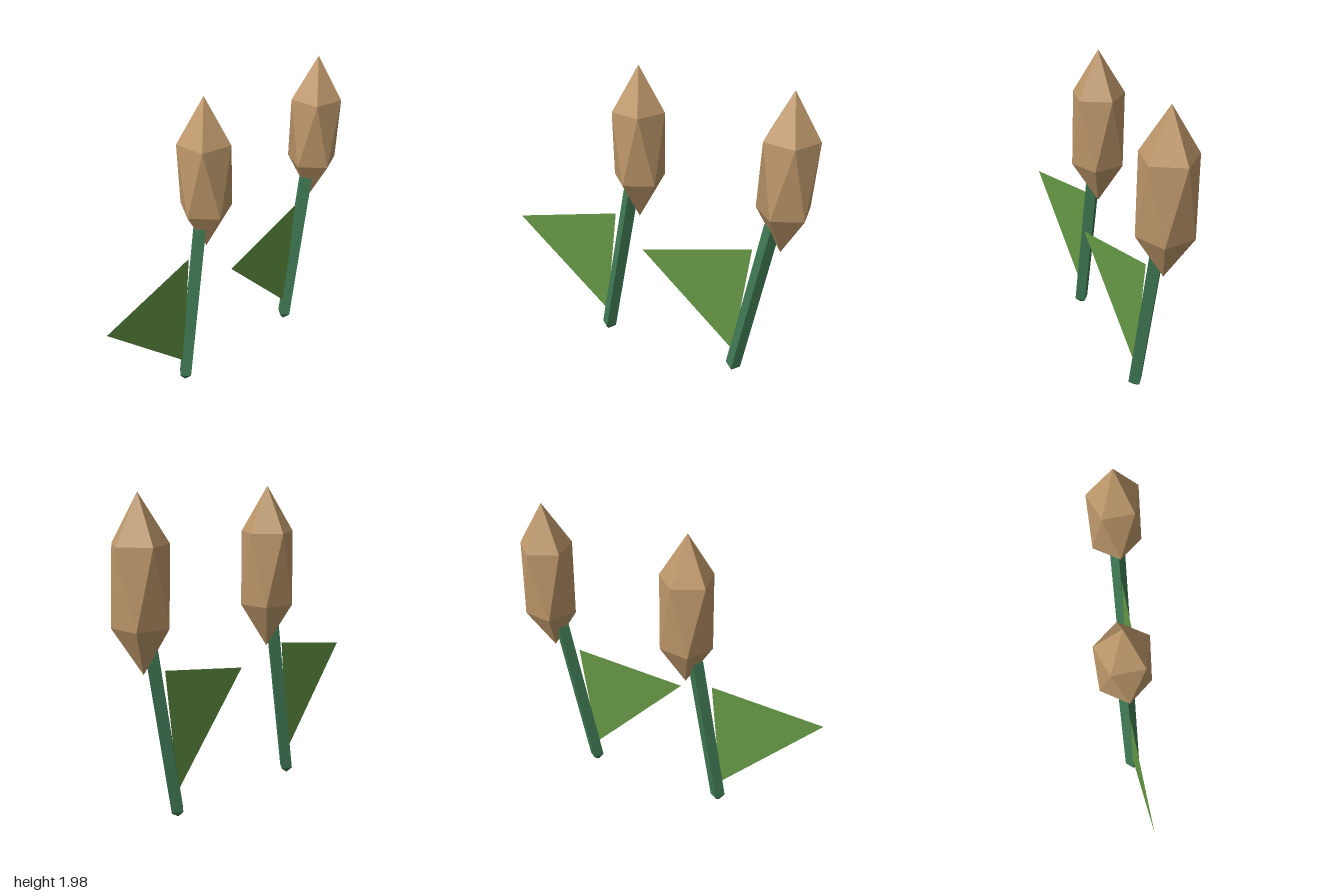
import * as THREE from 'three';
import { ConvexGeometry } from 'three/addons/geometries/ConvexGeometry.js';

const headBrown = new THREE.MeshStandardMaterial({ color: 0xbd976a });
headBrown.name = 'headBrown';
const stemGreen = new THREE.MeshStandardMaterial({ color: 0x407a54 });
stemGreen.name = 'stemGreen';
const leafGreen = new THREE.MeshStandardMaterial({ color: 0x669a46, side: THREE.DoubleSide });
leafGreen.name = 'leafGreen';

// Faceted look: separate the faces so each gets its own normal
function faceted(geometry) {
  const flat = geometry.toNonIndexed();
  flat.computeVertexNormals();
  return flat;
}

// Stretched icosahedron: two points and two staggered rings of five
function headGeometry(radius, halfHeight, ringY) {
  const points = [new THREE.Vector3(0, halfHeight, 0), new THREE.Vector3(0, -halfHeight, 0)];
  for (let i = 0; i < 5; i++) {
    const a = (i * Math.PI * 2) / 5;
    const x = Math.cos(a) * radius;
    const z = Math.sin(a) * radius;
    points.push(new THREE.Vector3(x, ringY, z), new THREE.Vector3(-x, -ringY, -z));
  }
  return new ConvexGeometry(points);
}

function part(name, geometry, material) {
  const mesh = new THREE.Mesh(geometry, material);
  mesh.name = name;
  return mesh;
}

function createReed(name) {
  const reed = new THREE.Group();
  reed.name = name;

  // Leaning four-sided stem with pointed ends
  const length = 1.1;
  const tilt = Math.atan(0.168);
  const stemGeo = new THREE.CapsuleGeometry(0.05, length, 1, 4);
  stemGeo.translate(0, length / 2, 0);
  const stem = part('stem', faceted(stemGeo), stemGreen);
  stem.position.set(-0.362, 0.05, 0);
  stem.rotation.z = -tilt;
  reed.add(stem);

  // Upright seed head
  const head = part('seedHead', headGeometry(0.168, 0.503, 0.225), headBrown);
  head.position.set(-0.12, 1.475, 0);
  reed.add(head);

  // Flat triangular leaf
  const outline = new THREE.Shape([
    new THREE.Vector2(-1, 0.812),
    new THREE.Vector2(-0.372, 0.17),
    new THREE.Vector2(-0.29, 0.957),
  ]);
  reed.add(part('leaf', new THREE.ShapeGeometry(outline), leafGreen));
  return reed;
}

export function createModel() {
  const model = new THREE.Group();
  model.name = 'reeds';
  const rightReed = createReed('rightReed');
  rightReed.position.set(0, 0, -0.073);
  const leftReed = createReed('leftReed');
  leftReed.position.set(0.951, 0, 0.073);
  model.add(rightReed, leftReed);
  return model;
}
